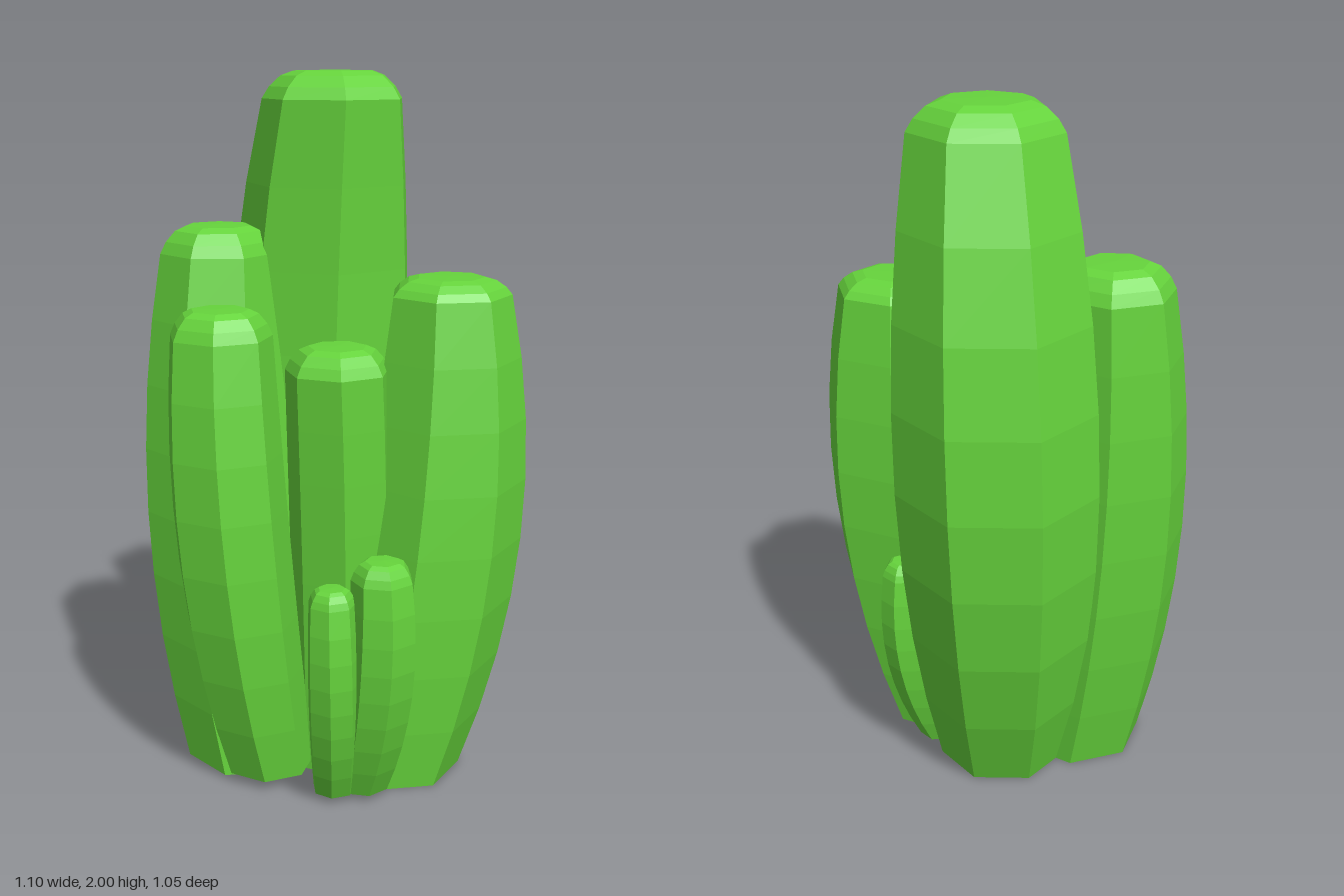
import * as THREE from 'three';

const SIDES = 7;
const BODY_RINGS = 9;

// Value of a smooth bow running from a through b (halfway) to c
function bow(a, b, c, t) {
  return a * 2 * (t - 0.5) * (t - 1) + b * 4 * t * (1 - t) + c * 2 * t * (t - 0.5);
}

// Rings [x, y, z, radius] along a bent, swelling stem, ending in a low faceted dome
function stemRings(bottom, shoulderY, top, foot, belly, shoulder) {
  const rings = [];
  for (let i = 0; i < BODY_RINGS; i++) {
    const t = i / (BODY_RINGS - 1);
    const [x, z, radius] = foot.map((value, k) => bow(value, belly[k], shoulder[k], t));
    rings.push([x, THREE.MathUtils.lerp(bottom, shoulderY, t), z, radius]);
  }
  const [x, z, radius] = shoulder;
  for (const [scale, lift] of [[0.9, 0.42], [0.74, 0.8], [0.56, 0.97]]) {
    rings.push([x, THREE.MathUtils.lerp(shoulderY, top, lift), z, radius * scale]);
  }
  return rings;
}

// Skin the rings with flat sides and close both ends
function skin(rings, turn, top) {
  const positions = [];
  const index = [];
  for (const [x, y, z, radius] of rings) {
    for (let s = 0; s < SIDES; s++) {
      const a = THREE.MathUtils.degToRad(turn) + (s / SIDES) * Math.PI * 2;
      positions.push(x + Math.cos(a) * radius, y, z - Math.sin(a) * radius);
    }
  }
  const last = (rings.length - 1) * SIDES;
  const footId = rings.length * SIDES;
  const crown = rings[rings.length - 1];
  positions.push(...rings[0].slice(0, 3), crown[0], top, crown[2]);

  for (let s = 0; s < SIDES; s++) {
    const n = (s + 1) % SIDES;
    for (let lo = 0; lo < last; lo += SIDES) {
      const hi = lo + SIDES;
      index.push(lo + s, lo + n, hi + n, lo + s, hi + n, hi + s);
    }
    index.push(footId, n, s, footId + 1, last + s, last + n);
  }

  const geometry = new THREE.BufferGeometry();
  geometry.setAttribute('position', new THREE.Float32BufferAttribute(positions, 3));
  geometry.setIndex(index);
  const flat = geometry.toNonIndexed();
  flat.computeVertexNormals();
  return flat;
}

export function createModel() {
  const cactus = new THREE.Group();
  cactus.name = 'cactus';
  const green = new THREE.MeshStandardMaterial({ color: 0x66d43c, flatShading: true });

  // heights: bottom, shoulder, top; turn: angle of the first corner in degrees;
  // foot, belly and shoulder: x, z, radius
  function addStem(name, [bottom, shoulderY, top], turn, foot, belly, shoulder) {
    const rings = stemRings(bottom, shoulderY, top, foot, belly, shoulder);
    const mesh = new THREE.Mesh(skin(rings, turn, top), green);
    mesh.name = name;
    cactus.add(mesh);
  }

  // Tall stems
  addStem('mainStem', [0, 1.92, 2], 25, [-0.04, -0.09, 0.19], [-0.06, -0.245, 0.285], [-0.01, -0.16, 0.21]);
  addStem('leftStem', [0, 1.4, 1.45], 0, [0.18, 0.12, 0.195], [0.3, 0.1, 0.24], [0.325, 0.085, 0.172]);
  addStem('rightBackStem', [0, 1.49, 1.57], 148, [-0.24, 0.06, 0.2], [-0.33, -0.01, 0.226], [-0.34, -0.075, 0.17]);
  addStem('rightFrontStem', [0.03, 1.31, 1.385], 168, [-0.18, 0.21, 0.13], [-0.26, 0.3, 0.163], [-0.29, 0.28, 0.143]);
  addStem('middleFrontStem', [0, 1.2, 1.27], 20, [0.02, 0.1, 0.13], [0.03, 0.145, 0.149], [0.02, 0.185, 0.148]);

  // Small shoots around the foot
  addStem('largerFrontShoot', [0.02, 0.68, 0.735], 30, [0.1, 0.31, 0.075], [0.15, 0.4, 0.095], [0.155, 0.415, 0.086]);
  addStem('smallerFrontShoot', [0.02, 0.62, 0.665], 10, [0.02, 0.34, 0.062], [0.025, 0.44, 0.073], [0.02, 0.445, 0.066]);
  addStem('backShoot', [0.03, 0.625, 0.67], 30, [0.16, -0.1, 0.06], [0.22, -0.19, 0.07], [0.23, -0.197, 0.065]);

  return cactus;
}
